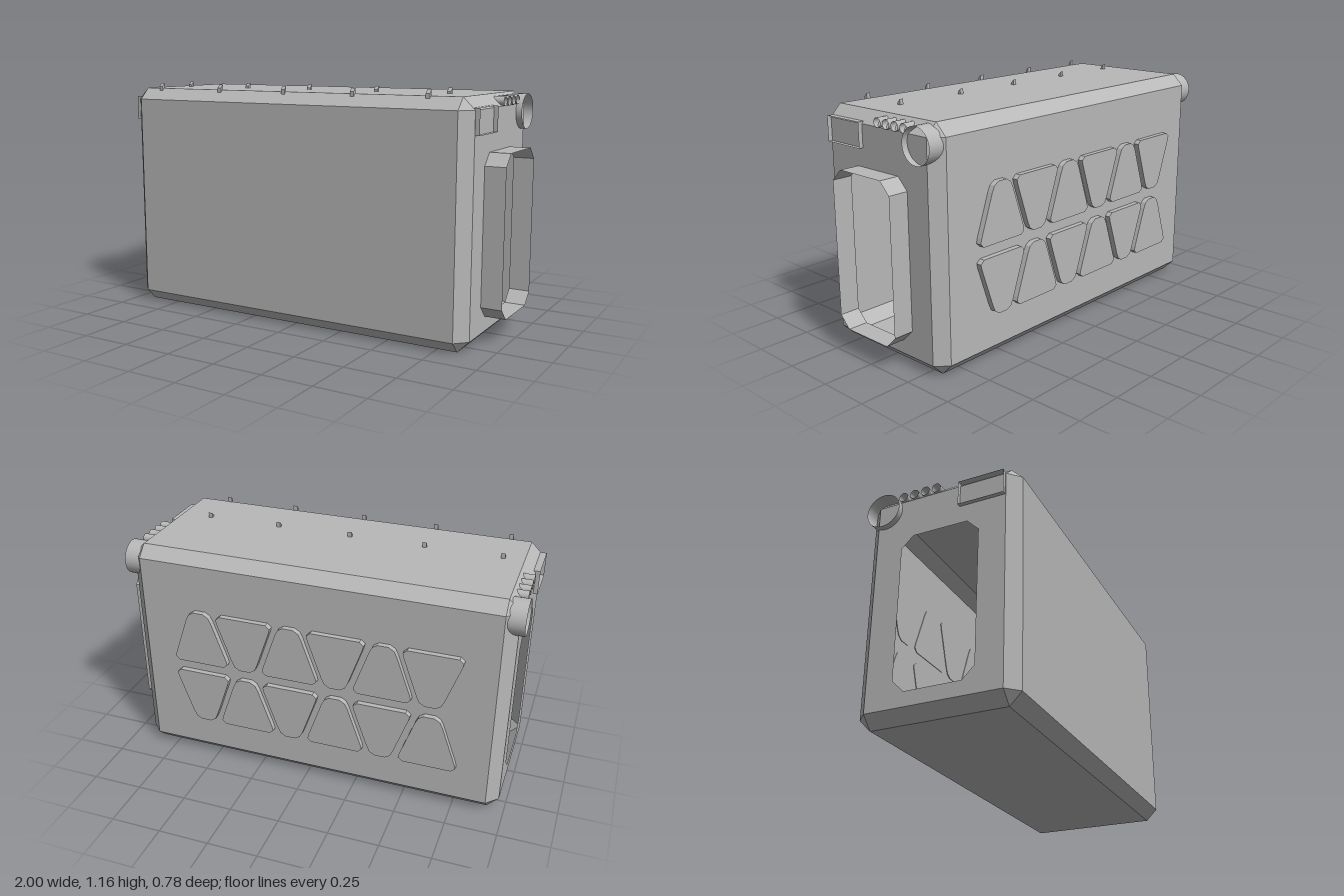
import * as THREE from 'three';

const CX = -0.035;                       // middle of the body in x
const HX = 0.935, HY = 0.565, HZ = 0.375, CZ = 0.014, C = 0.056;

// Rectangle with cut corners as [z, y] points
const octagon = (a, b, c) => [
  [a, b - c], [a - c, b], [c - a, b], [-a, b - c],
  [-a, c - b], [c - a, -b], [a - c, -b], [a, c - b],
];

// Flat faced surface through rings of [z, y] points placed along x
function loft(rings) {
  const pos = [];
  for (let r = 0; r < rings.length - 1; r++) {
    const A = rings[r], B = rings[r + 1], n = A.pts.length;
    const p = (R, i) => [R.x, R.pts[i % n][1], R.pts[i % n][0]];
    for (let i = 0; i < n; i++) {
      const q = [p(A, i), p(A, i + 1), p(B, i + 1), p(B, i)];
      const same = (u, v) => Math.hypot(u[0] - v[0], u[1] - v[1], u[2] - v[2]) < 1e-6;
      for (const t of [[0, 2, 1], [0, 3, 2]].map(k => k.map(j => q[j]))) {
        if (same(t[0], t[1]) || same(t[1], t[2]) || same(t[0], t[2])) continue;
        t.forEach(v => pos.push(...v));
      }
    }
  }
  const g = new THREE.BufferGeometry();
  g.setAttribute('position', new THREE.Float32BufferAttribute(pos, 3));
  g.computeVertexNormals();
  return g;
}

const shapeOf = pts => new THREE.Shape(pts.map(p => new THREE.Vector2(p[0], p[1])));

export function createModel() {
  const model = new THREE.Group();
  const grey = new THREE.MeshStandardMaterial({ color: 0xb8b8b8, side: THREE.DoubleSide });
  grey.name = 'grey';
  const add = (name, geo, x = 0, y = 0, z = 0, parent = model) => {
    const m = new THREE.Mesh(geo, grey);
    m.name = name;
    m.position.set(x, y, z);
    parent.add(m);
    return m;
  };

  // Hollow body with every edge chamfered
  const full = octagon(HZ, HY, C);
  const clamp = (v, m) => Math.max(-m, Math.min(m, v));
  const inset = full.map(([z, y]) => [clamp(z, HZ - C), clamp(y, HY - C)]);
  add('body', loft([
    { x: -HX, pts: inset }, { x: C - HX, pts: full },
    { x: HX - C, pts: full }, { x: HX, pts: inset },
  ]), CX, HY, CZ);

  // End walls, each with a cut-corner opening
  const hole = octagon(0.19, 0.377, C);
  const holeY = 0.502, holeZ = 0.015;
  for (const s of [1, -1]) {
    const wall = shapeOf([[-1, -1], [1, -1], [1, 1], [-1, 1]].map(([u, v]) => [u * (HZ - C), v * (HY - C)]));
    wall.holes.push(new THREE.Path(hole.map(([z, y]) =>
      new THREE.Vector2(-s * (z + holeZ - CZ), y + holeY - HY))));
    const m = add(s > 0 ? 'leftEndWall' : 'rightEndWall', new THREE.ShapeGeometry(wall), CX + s * HX, HY, CZ);
    m.rotation.y = s * Math.PI / 2;
  }

  // Collar standing out from one opening
  add('openingCollar', loft([{ x: 0.9, pts: hole }, { x: 1, pts: hole }]), 0, holeY, holeZ);

  // Open fittings, the same on both ends
  for (const s of [1, -1]) {
    const end = new THREE.Group();
    end.name = s > 0 ? 'leftFittings' : 'rightFittings';
    model.add(end);
    const pipe = (name, r, x0, x1, y, z, sides) => {
      const g = new THREE.CylinderGeometry(r, r, x1 - x0, sides, 1, true).rotateZ(Math.PI / 2);
      add(name, g, CX + s * (x0 + x1) / 2, y, z, end);
    };
    pipe('largePort', 0.084, 0.885, 0.965, 1.037, -0.27, 32);
    for (let i = 0; i < 4; i++) pipe('smallPort', 0.022, 0.89, 0.947, 1.096, -0.008 - i * 0.0565, 16);
    const rim = octagon(0.11, 0.059, 0);
    const ends = [{ x: CX + s * 0.92, pts: rim }, { x: CX + s * 0.956, pts: rim }];
    add('socketRim', loft(s > 0 ? ends : ends.reverse()), 0, 1.025, 0.22, end);
  }

  // Two rows of slant-topped pegs on the lid
  const peg = new THREE.ExtrudeGeometry(
    shapeOf([[-0.008, -0.02], [0.008, -0.02], [0.008, 0.026], [-0.008, 0.01]]),
    { depth: 0.02, bevelEnabled: false }).translate(0, 0, -0.01).rotateY(Math.PI / 2);
  for (const z of [0.337, 0.103])
    for (let i = 0; i < 5; i++) add('peg', peg, -0.815 + i * 0.375, 1.13, z);

  // Raised panels on the back, tapering alternately up and down
  const half = [[0.12, -0.14], [0.14, -0.122], [0.135, -0.1], [0.066, 0.095], [0.052, 0.124], [0.026, 0.14]];
  const outline = [...half, ...half.map(([x, y]) => [-x, y]).reverse()];
  const panelGeo = flip => new THREE.ExtrudeGeometry(
    shapeOf(outline.map(([x, y]) => [flip * x, flip * y])), { depth: 0.03, bevelEnabled: false });
  const up = panelGeo(1), down = panelGeo(-1);
  for (let i = 0; i < 6; i++) {
    const x = 0.54 - i * 0.232;
    add('upperBackPanel', i % 2 ? down : up, x, 0.7, -0.388);
    add('lowerBackPanel', i % 2 ? up : down, x, 0.363, -0.388);
  }
  return model;
}
